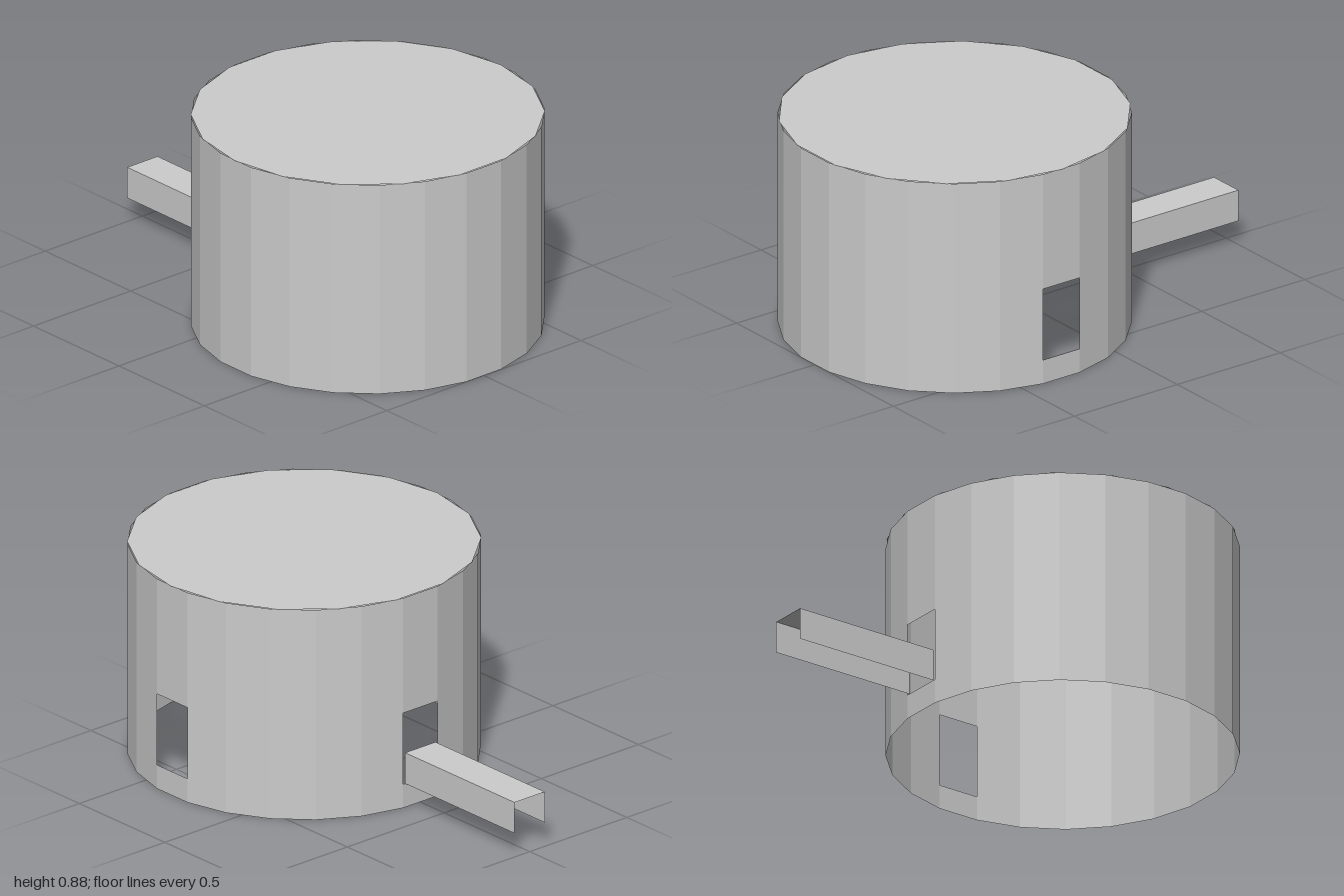
import * as THREE from 'three';
import { mergeGeometries } from 'three/addons/utils/BufferGeometryUtils.js';

const R = 0.685, H = 0.885, CZ = 0.32, SIDES = 24;
const DOOR_BOTTOM = 0.1, DOOR_TOP = 0.4;

export function createModel() {
  const group = new THREE.Group();
  const grey = new THREE.MeshStandardMaterial({ color: 0xcccccc, side: THREE.DoubleSide, flatShading: true });
  grey.name = 'light grey';

  const add = (name, geometry) => {
    const mesh = new THREE.Mesh(geometry, grey);
    mesh.name = name;
    group.add(mesh);
  };

  // Wall: one flat panel per side, split above and below the two doorways
  const apothem = R * Math.cos(Math.PI / SIDES);
  const width = 2 * R * Math.sin(Math.PI / SIDES);
  const doorways = [SIDES / 4, SIDES / 2]; // +x side and back
  const panels = [];
  for (let i = 0; i < SIDES; i++) {
    const spans = doorways.includes(i) ? [[0, DOOR_BOTTOM], [DOOR_TOP, H]] : [[0, H]];
    for (const [y0, y1] of spans) {
      panels.push(new THREE.PlaneGeometry(width, y1 - y0)
        .translate(0, (y0 + y1) / 2, apothem)
        .rotateY((i / SIDES) * Math.PI * 2)
        .translate(0, 0, CZ));
    }
  }
  add('wall', mergeGeometries(panels));

  // Roof: a coarser flat disc, the floor stays open
  add('roof', new THREE.CircleGeometry(R, 18).rotateX(-Math.PI / 2).translate(0, H, CZ));

  // Entrance tunnel at the back: a top and two sides, open below and at the ends
  const front = CZ - apothem, length = front + 1, mid = (front - 1) / 2;
  const half = 0.078, top = 0.23, depth = top - DOOR_BOTTOM;
  add('tunnelTop', new THREE.PlaneGeometry(half * 2, length).rotateX(-Math.PI / 2).translate(0, top, mid));
  for (const s of [1, -1]) {
    add(s > 0 ? 'tunnelLeftSide' : 'tunnelRightSide',
      new THREE.PlaneGeometry(length, depth)
        .rotateY(s * Math.PI / 2)
        .translate(s * half, DOOR_BOTTOM + depth / 2, mid));
  }
  return group;
}
